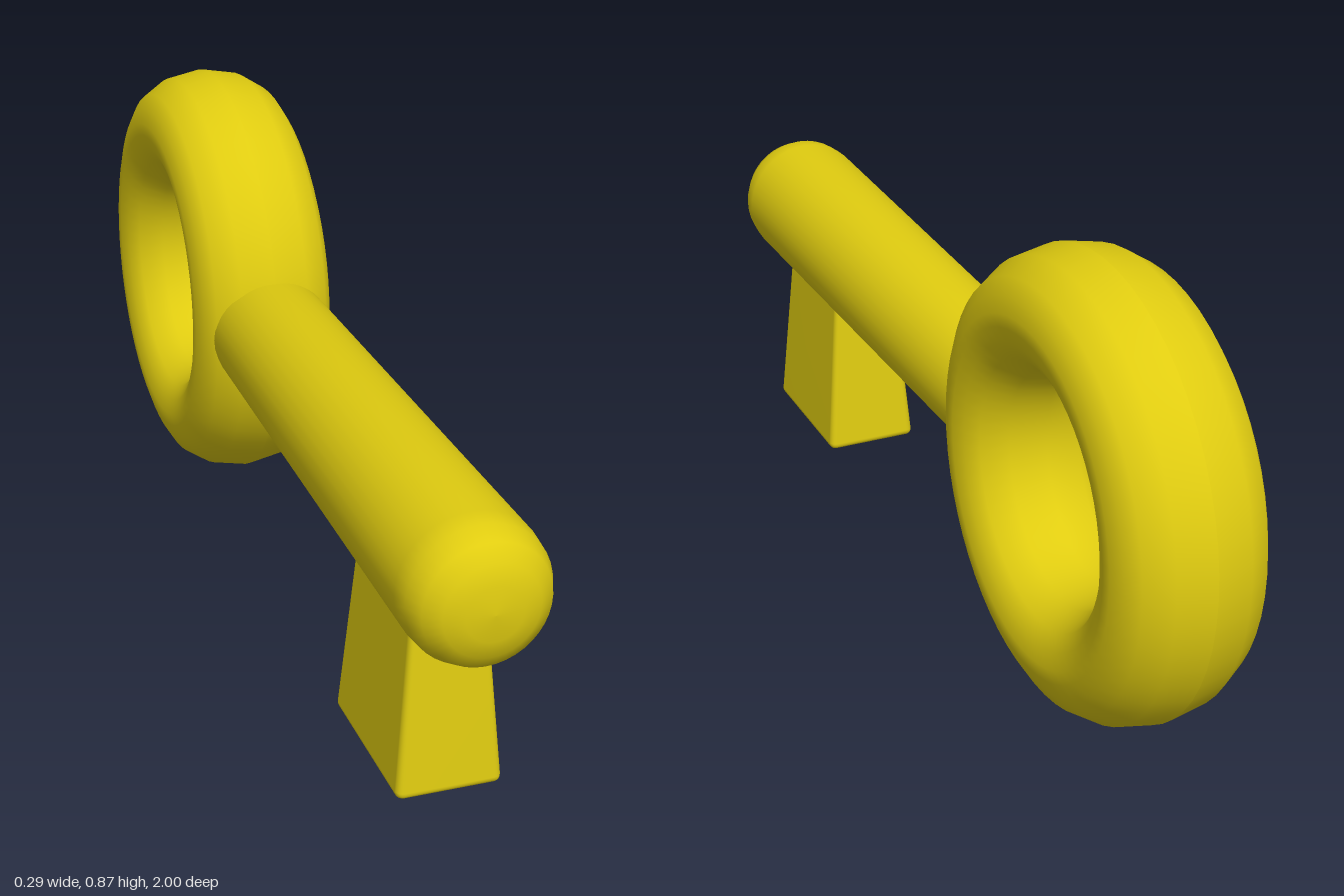
import * as THREE from 'three';
import { mergeVertices } from 'three/addons/utils/BufferGeometryUtils.js';
import { RoundedBoxGeometry } from 'three/addons/geometries/RoundedBoxGeometry.js';

const AXIS_Y = 0.442;
const points = (list) => list.map(([r, h]) => new THREE.Vector2(r, h));

export function createModel() {
  const group = new THREE.Group();
  group.name = 'key';
  const yellow = new THREE.MeshStandardMaterial({ color: 0xe0cc10 });
  const add = (name, geometry) => {
    const mesh = new THREE.Mesh(geometry, yellow);
    mesh.name = name;
    group.add(mesh);
    return mesh;
  };

  // Ring handle: rounded section, a little wider than deep, turned about the x axis
  const quarter = [[0.115, 0], [0.102, 0.069], [0.072, 0.115], [0.042, 0.133], [0.012, 0.143]];
  const outer = quarter.map(([r, h]) => [0.315 + r, h]);
  const inner = quarter.map(([r, h]) => [0.315 - r, h]).reverse();
  const upper = [...outer, ...inner];
  const lower = upper.slice(1, -1).map(([r, h]) => [r, -h]).reverse();
  // run from -h to +h on the outside so the faces point outwards
  const section = [...upper, ...lower, upper[0]];
  const ringGeometry = new THREE.LatheGeometry(points(section), 56);
  ringGeometry.rotateZ(-Math.PI / 2);
  const ring = add('ringHandle', ringGeometry);
  ring.position.set(0, AXIS_Y + 0.001, -0.569);

  // Shaft: slightly tapered towards the ring, with a rounded tip
  const shaftProfile = points([
    [0, -0.27], [0.119, -0.27], [0.132, 0.89], [0.128, 0.93],
    [0.113, 0.965], [0.085, 0.985], [0.05, 0.997], [0, 1],
  ]);
  const shaftGeometry = new THREE.LatheGeometry(shaftProfile, 40);
  shaftGeometry.rotateX(Math.PI / 2);
  add('shaft', shaftGeometry).position.y = AXIS_Y;

  // Bit: soft-edged block, narrowing up into the shaft
  const height = 0.38;
  let bitGeometry = new RoundedBoxGeometry(0.196, height, 0.328, 3, 0.015);
  bitGeometry.translate(0, height / 2, 0);
  bitGeometry.deleteAttribute('normal');
  bitGeometry.deleteAttribute('uv');
  const p = bitGeometry.attributes.position;
  for (let i = 0; i < p.count; i++) {
    const t = p.getY(i) / 0.33;
    p.setX(i, p.getX(i) * (1 - 0.28 * t));
    p.setZ(i, p.getZ(i) * (1 - 0.14 * t));
  }
  bitGeometry = mergeVertices(bitGeometry, 1e-4);
  bitGeometry.computeVertexNormals();
  add('bit', bitGeometry).position.z = 0.671;

  return group;
}
